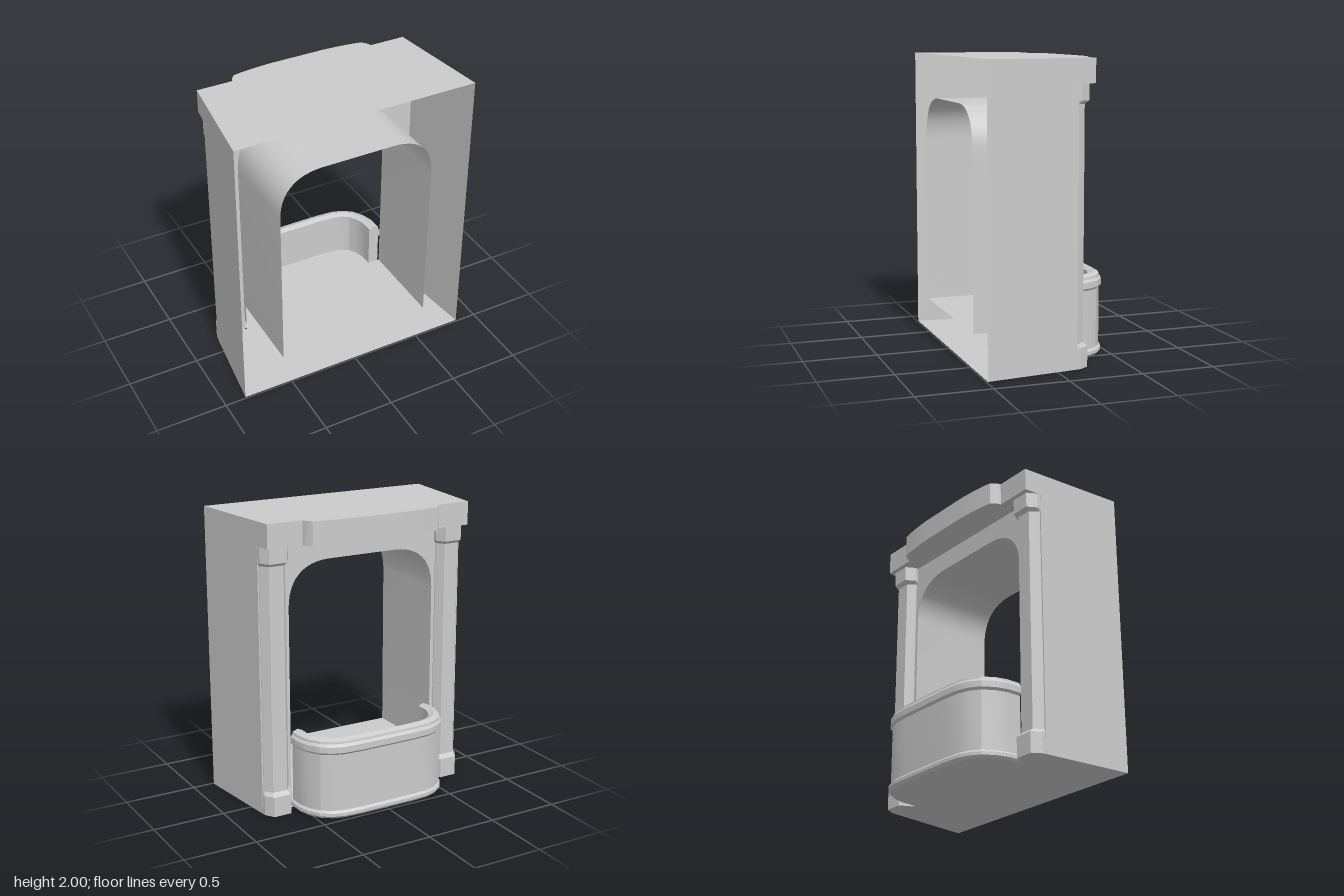
import * as THREE from 'three';
import { toCreasedNormals } from 'three/addons/utils/BufferGeometryUtils.js';

const FRONT = 0.49, WALL = -0.14, FLOOR = 0.235, CORNICE = 1.84;

export function createModel() {
  const model = new THREE.Group();
  const material = new THREE.MeshStandardMaterial({ color: 0xcccccc, side: THREE.DoubleSide });

  function add(name, geometry, parent = model) {
    const mesh = new THREE.Mesh(geometry, material);
    mesh.name = name;
    parent.add(mesh);
    return mesh;
  }

  // Skin a surface over rows of [x, y, z] points
  function loft(rows, crease = 0.5) {
    const cols = rows[0].length, index = [];
    for (let r = 0; r < rows.length - 1; r++) {
      for (let c = 0; c < cols - 1; c++) {
        const a = r * cols + c, b = a + cols;
        index.push(a, b, a + 1, b, b + 1, a + 1);
      }
    }
    const g = new THREE.BufferGeometry();
    g.setAttribute('position', new THREE.Float32BufferAttribute(rows.flat(2), 3));
    g.setIndex(index);
    return toCreasedNormals(g, crease);
  }

  const atHeight = (path, y) => path.map(([x, z]) => [x, y, z]);
  const strip = (path, y0, y1) => loft([atHeight(path, y1), atHeight(path, y0)]);
  const toShape = (pts) => new THREE.Shape(pts.map(([x, y]) => new THREE.Vector2(x, y)));
  const plate = (path, y) =>
    new THREE.ShapeGeometry(toShape(path)).rotateX(Math.PI / 2).translate(0, y, 0);
  // Complete a right-hand half path with its mirror image
  const mirrored = (half) => [...half, ...half.map(([x, z]) => [-x, z]).reverse()];

  // Shell: tapering sides, open at the front
  for (const s of [1, -1]) {
    add('sideWall', strip([[s * 0.85, FRONT], [s * 0.774, WALL]], 0, 2));
  }
  add('bottomPlate', plate(mirrored([[0.85, FRONT], [0.774, WALL]]), 0));

  // Cornice with a bowed centre, its top continuing as the roof
  const cornice = mirrored([
    [0.774, WALL], [0.76, -0.26], [0.51, -0.26], [0.5, -0.29], [0.472, -0.325],
    [0.41, -0.336], [0.33, -0.346], [0.2, -0.355],
  ]);
  add('corniceFace', strip(cornice, CORNICE, 2));
  add('corniceUnderside', plate(cornice, CORNICE));
  add('roof', plate([[0.85, FRONT], ...cornice, [-0.85, FRONT]], 2));

  // Arched opening, used for both the wall and the passage
  const bend = new THREE.CubicBezierCurve(
    new THREE.Vector2(0.555, 1.4), new THREE.Vector2(0.555, 1.59),
    new THREE.Vector2(0.45, 1.7), new THREE.Vector2(0.25, 1.7),
  ).getPoints(12).map((p) => [p.x, p.y]);
  const arch = mirrored(bend);
  const wallShape = toShape([
    [0.774, 0], [0.774, CORNICE], [-0.774, CORNICE], [-0.774, 0],
    [-0.555, 0], ...arch.slice().reverse(), [0.555, 0],
  ]);
  add('archWall', new THREE.ShapeGeometry(wallShape).translate(0, 0, WALL));
  const tunnel = [[0.555, FLOOR], ...arch, [-0.555, FLOOR]];
  add('archPassage', loft([FRONT, WALL].map((z) => tunnel.map(([x, y]) => [x, y, z]))));

  // Balcony: moulded profile swept round a bowed plan
  const plan = mirrored([
    [0.557, WALL], [0.555, -0.24], [0.53, -0.325], [0.48, -0.405],
    [0.41, -0.455], [0.33, -0.481], [0.2, -0.49],
  ]);
  function inset(d) {
    return plan.map(([x, z], i) => {
      if (i === 0 || i === plan.length - 1) return [x - Math.sign(x) * d, z];
      const [ax, az] = plan[i - 1], [bx, bz] = plan[i + 1];
      const len = Math.hypot(bx - ax, bz - az);
      return [x + (bz - az) / len * d, z - (bx - ax) / len * d];
    });
  }
  // Profile points: [height, inset]
  const profile = [
    [0, 0.018], [0.018, 0], [0.04, 0], [0.055, 0.014], [0.455, 0.014], [0.47, 0],
    [0.512, 0], [0.53, 0.014], [0.545, 0.016], [0.56, 0.055], [0.545, 0.09], [FLOOR, 0.09],
  ];
  add('balconyParapet', loft(profile.map(([y, d]) => atHeight(inset(d), y)), 0.35));
  add('balconyUnderside', plate(inset(0.018), 0));
  add('balconyFloor', plate([[0.555, FRONT], [0.555, WALL], ...inset(0.09), [-0.555, WALL], [-0.555, FRONT]], FLOOR));
  for (const s of [1, -1]) {
    const end = profile.slice(4).map(([y, d]) => [s * (0.557 - d), y]);
    end.push([s * 0.543, FLOOR]);
    add('parapetEnd', new THREE.ShapeGeometry(toShape(end)).translate(0, 0, WALL));
  }

  // Chamfered pillars with a wider base and capital
  const block = [[0.772, WALL], [0.77, -0.165], [0.73, -0.228], [0.605, -0.228], [0.568, -0.165], [0.568, WALL]];
  const shaft = [[0.765, WALL], [0.763, -0.146], [0.722, -0.2], [0.618, -0.2], [0.58, -0.146], [0.58, WALL]];
  for (const s of [1, -1]) {
    const pillar = new THREE.Group();
    pillar.name = s > 0 ? 'leftPillar' : 'rightPillar';
    model.add(pillar);
    const side = (path) => path.map(([x, z]) => [s * x, z]);
    const b = side(block), c = side(shaft);
    add('pillarBase', loft([atHeight(c, 0.165), atHeight(b, 0.14), atHeight(b, 0)], 0.2), pillar);
    add('pillarBottom', plate(b, 0), pillar);
    add('pillarShaft', loft([atHeight(c, 1.71), atHeight(c, 0.165)], 0.2), pillar);
    add('pillarCapital', loft([atHeight(b, CORNICE), atHeight(b, 1.732), atHeight(c, 1.71)], 0.2), pillar);
  }
  return model;
}
